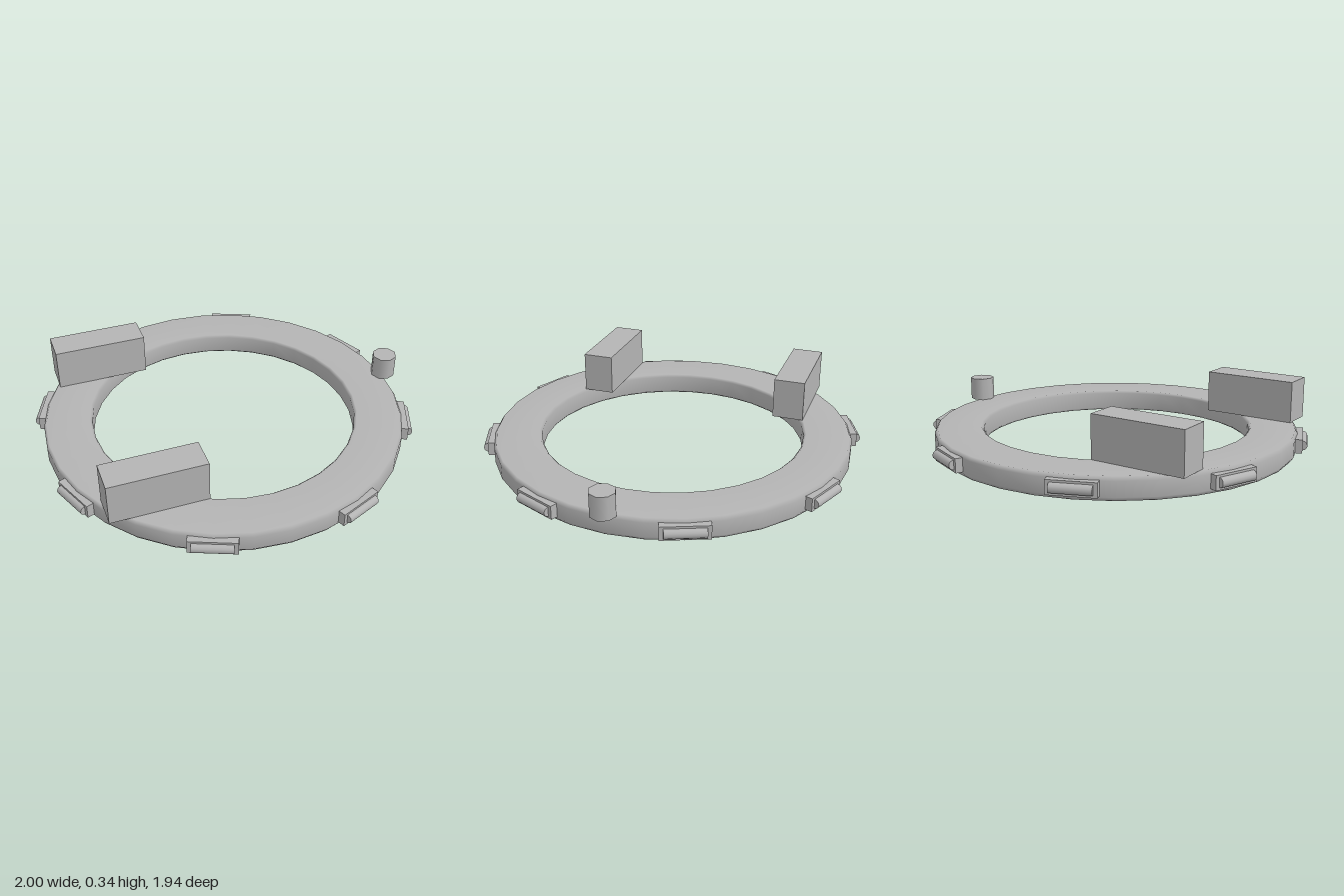
import * as THREE from 'three';

const CX = -0.027; // ring centre on x
const TOP = 0.115; // ring height

export function createModel() {
  const model = new THREE.Group();
  const grey = new THREE.MeshStandardMaterial({ color: 0xb4b4b4 });
  grey.name = 'grey metal';

  const add = (parent, name, geometry, x, y, z) => {
    const mesh = new THREE.Mesh(geometry, grey);
    mesh.name = name;
    mesh.position.set(x, y, z);
    parent.add(mesh);
    return mesh;
  };

  // Flat ring with softened edges, profile runs counter-clockwise
  const ri = 0.705, ro = 0.96, b = 0.013;
  const profile = [
    [0.83, 0], [ro - b, 0], [ro, b * 1.5], [ro, TOP - b * 1.5], [ro - b, TOP],
    [ri + b, TOP], [ri, TOP - b], [ri, b], [ri + b, 0], [0.83, 0],
  ].map(([x, y]) => new THREE.Vector2(x, y));
  add(model, 'ring', new THREE.LatheGeometry(profile, 32), CX, 0, 0);

  // Eight lugs around the rim: a plate with a rounded bar on it
  const plate = new THREE.BoxGeometry(0.06, 0.072, 0.24);
  const bar = new THREE.CylinderGeometry(0.025, 0.025, 0.2, 12).rotateX(Math.PI / 2);
  for (let i = 0; i < 8; i++) {
    const lug = new THREE.Group();
    lug.name = 'rimLug' + (i + 1);
    lug.position.set(CX, 0.062, 0);
    lug.rotation.y = (i + 0.5) * Math.PI / 4;
    add(lug, 'lugPlate', plate, 0.955, 0, 0);
    add(lug, 'lugBar', bar, 0.985, 0, 0);
    model.add(lug);
  }

  // Two blocks standing on the right side of the ring
  for (const s of [1, -1]) {
    add(model, s > 0 ? 'frontBlock' : 'backBlock',
      new THREE.BoxGeometry(0.495, 0.22, 0.168), -0.573, TOP + 0.11, s * 0.566);
  }

  // Small post on the left side
  add(model, 'post', new THREE.CylinderGeometry(0.066, 0.066, 0.124, 8), 0.934, TOP + 0.062, 0);

  return model;
}
